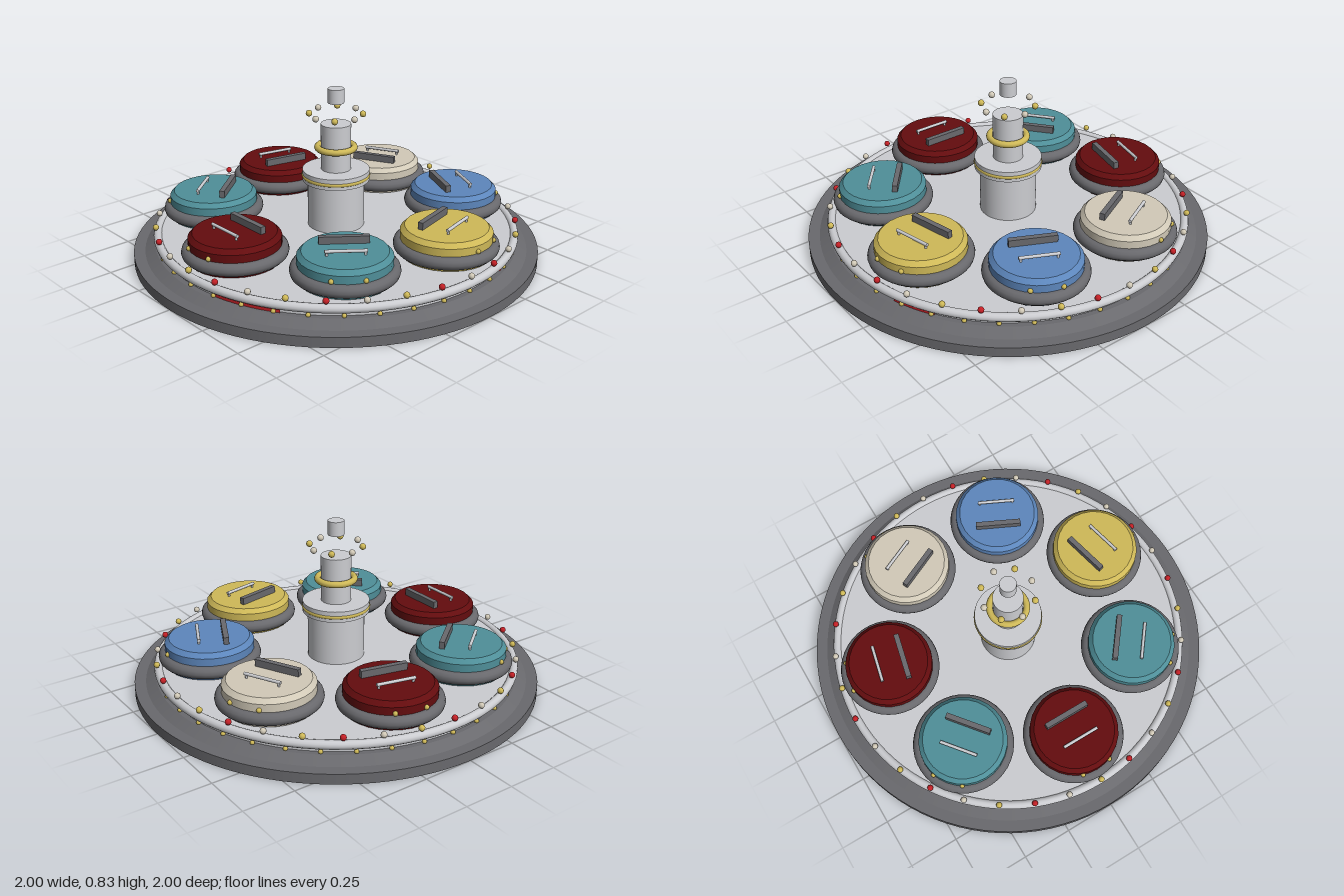
import * as THREE from 'three';

const mat = (name, color) => {
  const m = new THREE.MeshStandardMaterial({ color });
  m.name = name;
  return m;
};

export function createModel() {
  const root = new THREE.Group();
  root.name = 'spinningDiscRide';

  const dark = mat('darkGrey', 0x69696d);
  const light = mat('lightGrey', 0xcccdd1);
  const maroon = mat('maroon', 0x640c0e);
  const teal = mat('teal', 0x4f8f99);
  const yellow = mat('yellow', 0xcfb958);
  const blue = mat('blue', 0x5d87bd);
  const cream = mat('cream', 0xd2cab8);
  const red = mat('signalRed', 0xc42026);

  const add = (parent, name, geo, material, x = 0, y = 0, z = 0) => {
    const m = new THREE.Mesh(geo, material);
    m.name = name;
    m.position.set(x, y, z);
    parent.add(m);
    return m;
  };
  // Upright cylinder or cone between two heights
  const drum = (parent, name, rBottom, rTop, y0, y1, material, seg = 64) =>
    add(parent, name, new THREE.CylinderGeometry(rTop, rBottom, y1 - y0, seg), material, 0, (y0 + y1) / 2, 0);
  // Flat-lying ring
  const ring = (parent, name, R, tube, y, material, seg = 64) =>
    add(parent, name, new THREE.TorusGeometry(R, tube, 12, seg).rotateX(Math.PI / 2), material, 0, y, 0);
  // Circle of small bulbs, with repeating colours
  const bulbs = (name, count, R, y, size, colours) => {
    const g = new THREE.Group();
    g.name = name;
    const geo = new THREE.SphereGeometry(size, 12, 8);
    for (let i = 0; i < count; i++) {
      const a = (i / count) * Math.PI * 2;
      add(g, 'bulb', geo, colours[i % colours.length], Math.cos(a) * R, y, Math.sin(a) * R);
    }
    root.add(g);
  };

  // Base and deck
  drum(root, 'base', 1, 1, 0, 0.05, dark, 96);
  drum(root, 'baseSlope', 0.945, 0.895, 0.05, 0.08, dark, 96);
  drum(root, 'deck', 0.87, 0.87, 0.07, 0.13, light, 96);
  ring(root, 'deckRail', 0.88, 0.021, 0.12, light, 96);
  bulbs('railBulbs', 32, 0.888, 0.16, 0.015, [cream, red, yellow]);
  bulbs('skirtBulbs', 36, 0.88, 0.085, 0.011, [yellow]);

  // Red panels on the skirt, as start and end angles from the front
  for (const [from, to] of [[10, 32], [107, 121], [320, 331]]) {
    const rad = Math.PI / 180;
    const geo = new THREE.CylinderGeometry(0.878, 0.878, 0.02, 16, 1, true, from * rad, (to - from) * rad);
    add(root, 'skirtPanel', geo, red, 0, 0.085, 0);
  }

  // Seven round cars, each facing outwards
  const carColours = [maroon, teal, yellow, blue, cream, maroon, teal];
  carColours.forEach((colour, i) => {
    const a = (i / 7) * Math.PI * 2;
    const car = new THREE.Group();
    car.name = 'car';
    car.position.set(Math.sin(a) * 0.626, 0, Math.cos(a) * 0.626);
    car.rotation.y = a;
    root.add(car);

    ring(car, 'bumper', 0.218, 0.031, 0.181, dark, 40);
    drum(car, 'carBody', 0.217, 0.217, 0.14, 0.25, colour, 28);
    drum(car, 'carTop', 0.217, 0.196, 0.25, 0.272, colour, 28);
    add(car, 'backrest', new THREE.BoxGeometry(0.23, 0.04, 0.026), dark, 0, 0.287, -0.075);
    // Hand rail on two posts
    add(car, 'handRail', new THREE.CylinderGeometry(0.008, 0.008, 0.19, 10).rotateZ(Math.PI / 2), light, 0, 0.292, 0.055);
    for (const s of [-1, 1]) {
      add(car, 'railPost', new THREE.CylinderGeometry(0.006, 0.006, 0.026, 8), light, s * 0.085, 0.28, 0.055);
      add(car, 'headlamp', new THREE.SphereGeometry(0.012, 12, 8), yellow, s * 0.075, 0.222, 0.205);
    }
  });

  // Centre column with its rings
  drum(root, 'columnLower', 0.14, 0.14, 0.12, 0.37, light, 48);
  drum(root, 'columnCollar', 0.165, 0.165, 0.365, 0.42, light, 48);
  ring(root, 'collarRing', 0.158, 0.011, 0.39, yellow, 48);
  drum(root, 'columnUpper', 0.074, 0.074, 0.42, 0.65, light, 40);
  ring(root, 'upperRing', 0.09, 0.016, 0.53, yellow, 48);
  bulbs('crownBulbs', 8, 0.13, 0.7, 0.016, [cream, yellow]);
  drum(root, 'crownCap', 0.04, 0.04, 0.755, 0.826, light, 32);

  return root;
}
